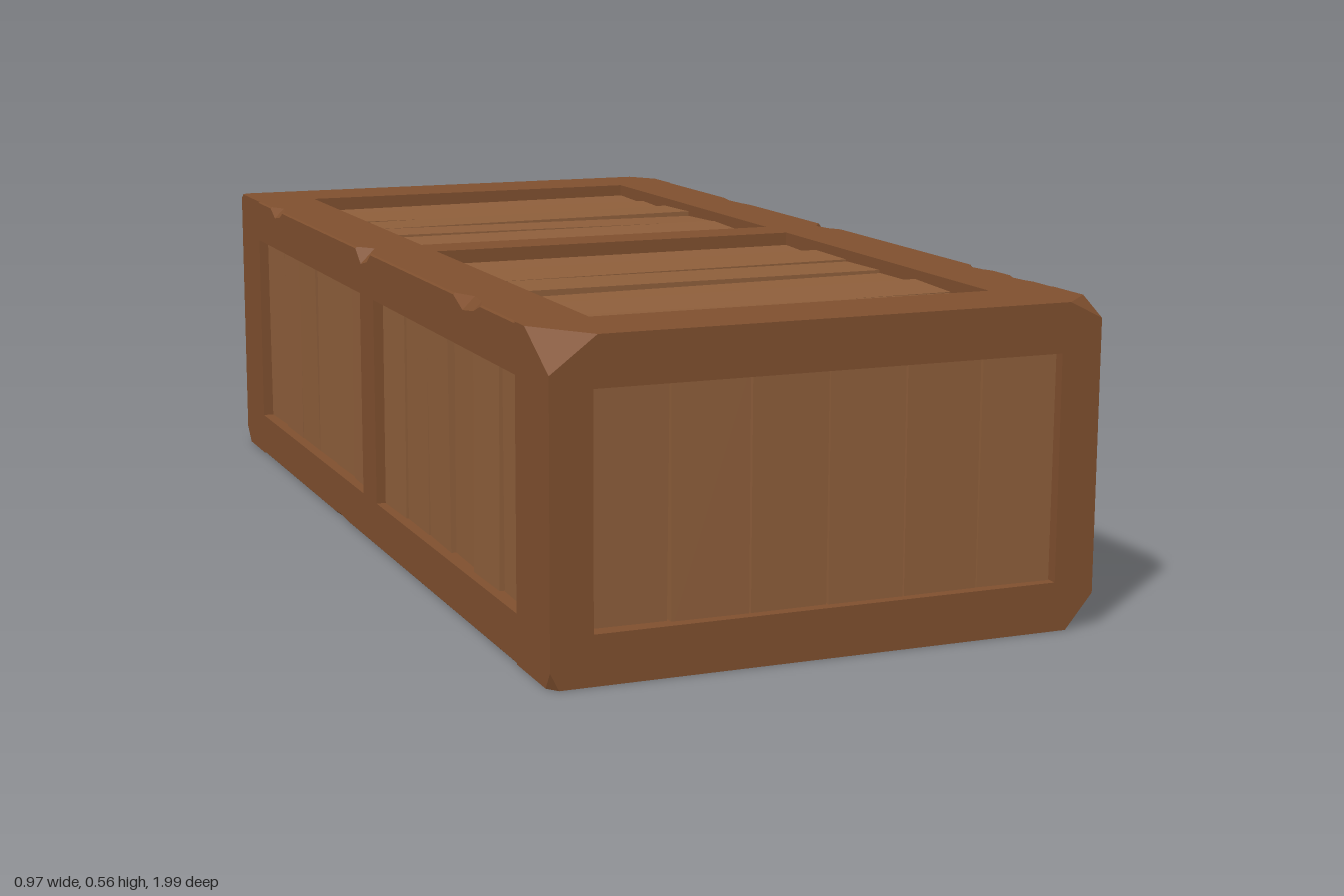
import * as THREE from 'three';
import { ConvexGeometry } from 'three/addons/geometries/ConvexGeometry.js';

const frameMat = new THREE.MeshStandardMaterial({ color: 0x80502f, flatShading: true });
const plankMat = new THREE.MeshStandardMaterial({ color: 0x8f5f3b, flatShading: true });

// Half extents of the crate, and the timber sizes of its frame
const X = 0.487, H = 0.56, Z = 0.995;
const RW = 0.125, RH = 0.085, CZ = 0.155, PW = 0.073;

let seed = 7;
const jitter = (a) => {
  seed = (seed * 16807) % 2147483647;
  return (seed / 2147483647 * 2 - 1) * a;
};

function add(parent, name, geo, mat, x = 0, y = 0, z = 0) {
  const m = new THREE.Mesh(geo, mat);
  m.name = name;
  m.position.set(x, y, z);
  parent.add(m);
  return m;
}
const box = (w, h, d) => new THREE.BoxGeometry(w, h, d);

// Corner block with its outer corner broken off by a, b, c along x, y, z
function cornerBlock(sx, sy, sz, [a, b, c]) {
  const pts = [];
  const at = (x, y, z) => pts.push(new THREE.Vector3(sx * (X - x), H / 2 + sy * (H / 2 - y), sz * (Z - z)));
  for (const x of [0, RW]) for (const y of [0, RH]) for (const z of [0, CZ]) if (x + y + z > 0) at(x, y, z);
  at(a, 0, 0);
  at(0, b, 0);
  at(0, 0, c);
  // extra point pushes the break outwards for a knobbly surface
  at(a * 0.4, b * 0.4, c * 0.35);
  return new ConvexGeometry(pts);
}

// Long rail: a rectangle whose outer edge is chipped by a varying amount
function chippedRail(sx, sy, chips) {
  const end = Z - CZ, stations = [[-end, 0.003]];
  for (const [z, depth, len] of chips) stations.push([z - len, 0.003], [z - len * 0.3, depth], [z + len * 0.5, depth * 0.7], [z + len, 0.003]);
  stations.push([end, 0.003]);
  const ring = ([z, c]) => [[RW, RH], [0, RH], [0, c], [c, 0], [RW, 0]]
    .map(([x, y]) => [sx * (X - x), H / 2 + sy * (H / 2 - y), z]);
  const pos = [];
  const tri = (a, b, c) => pos.push(...a, ...(sx * sy > 0 ? [...b, ...c] : [...c, ...b]));
  for (let s = 0; s < stations.length - 1; s++) {
    const p = ring(stations[s]), q = ring(stations[s + 1]);
    for (let i = 0; i < 5; i++) {
      const j = (i + 1) % 5;
      tri(p[i], p[j], q[j]);
      tri(p[i], q[j], q[i]);
    }
  }
  const g = new THREE.BufferGeometry();
  g.setAttribute('position', new THREE.Float32BufferAttribute(pos, 3));
  g.computeVertexNormals();
  return g;
}

// Row of slightly uneven upright planks facing +z, filling w by h
function plankPanel(name, w, h, count) {
  const g = new THREE.Group();
  g.name = name;
  const step = w / count;
  for (let i = 0; i < count; i++) {
    const p = add(g, 'plank', box(step - 0.003, h + 0.03, 0.03), plankMat,
      -w / 2 + step * (i + 0.5), 0, -0.038 + jitter(0.005));
    p.rotation.set(jitter(0.008), jitter(0.035), jitter(0.007));
  }
  return g;
}

export function createModel() {
  const crate = new THREE.Group();
  crate.name = 'crate';

  // Dark body behind the planks
  add(crate, 'innerBody', box(0.87, 0.45, 1.88), frameMat, 0, H / 2, 0);

  // Corner breaks keyed by x, y, z side
  const breaks = {
    '1,1,1': [0.06, 0.03, 0.06], '-1,1,1': [0.08, 0.06, 0.11],
    '1,-1,1': [0.05, 0.06, 0.1], '-1,-1,1': [0.015, 0.03, 0.02],
    '1,1,-1': [0.04, 0.04, 0.06], '-1,1,-1': [0.01, 0.01, 0.015],
    '1,-1,-1': [0.015, 0.015, 0.02], '-1,-1,-1': [0.03, 0.03, 0.03],
  };
  const railChips = {
    '1,1': [[-0.46, 0.012, 0.07], [-0.01, 0.025, 0.05], [0.6, 0.016, 0.04], [0.74, 0.012, 0.04]],
    '-1,1': [[-0.68, 0.02, 0.05], [-0.02, 0.028, 0.05], [0.6, 0.022, 0.07]],
    '1,-1': [[0.3, 0.006, 0.05]],
    '-1,-1': [[-0.2, 0.006, 0.05]],
  };

  const frame = new THREE.Group();
  frame.name = 'frame';
  crate.add(frame);
  const postH = H - 2 * RH, crossW = 2 * (X - RW);
  for (const sy of [1, -1]) {
    const y = H / 2 + sy * (H - RH) / 2;
    for (const sx of [1, -1]) {
      add(frame, 'longRail', chippedRail(sx, sy, railChips[[sx, sy]]), frameMat);
      for (const sz of [1, -1]) add(frame, 'cornerBlock', cornerBlock(sx, sy, sz, breaks[[sx, sy, sz]]), frameMat);
    }
    for (const sz of [1, -1]) add(frame, 'crossRail', box(crossW, RH, CZ), frameMat, 0, y, sz * (Z - CZ / 2));
    add(frame, 'middleCrossRail', box(crossW, RH, 0.095), frameMat, 0, y, -0.003);
  }
  for (const sx of [1, -1]) {
    for (const sz of [1, -1]) add(frame, 'cornerPost', box(PW, postH, CZ), frameMat, sx * (X - PW / 2), H / 2, sz * (Z - CZ / 2));
    add(frame, 'middlePost', box(PW, postH, 0.09), frameMat, sx * (X - PW / 2), H / 2, 0);
  }

  // Recessed plank panels on every face
  const place = (panel, pos, rot) => {
    panel.position.set(...pos);
    panel.rotation.set(...rot);
    crate.add(panel);
  };
  const q = Math.PI / 2, endW = 2 * (X - PW), bayZ = 0.443, bayL = 0.795;
  place(plankPanel('frontPlanks', endW, postH, 6), [0, H / 2, Z], [0, 0, 0]);
  place(plankPanel('backPlanks', endW, postH, 6), [0, H / 2, -Z], [0, 2 * q, 0]);
  for (const sz of [1, -1]) {
    for (const sx of [1, -1]) {
      place(plankPanel('sidePlanks', bayL, postH, 6), [sx * X, H / 2, sz * bayZ], [0, sx * q, 0]);
    }
    place(plankPanel('topPlanks', bayL, crossW, 6), [0, H, sz * bayZ], [-q, 0, q]);
    place(plankPanel('bottomPlanks', crossW, bayL, 6), [0, 0, sz * bayZ], [q, 0, 0]);
  }
  return crate;
}
